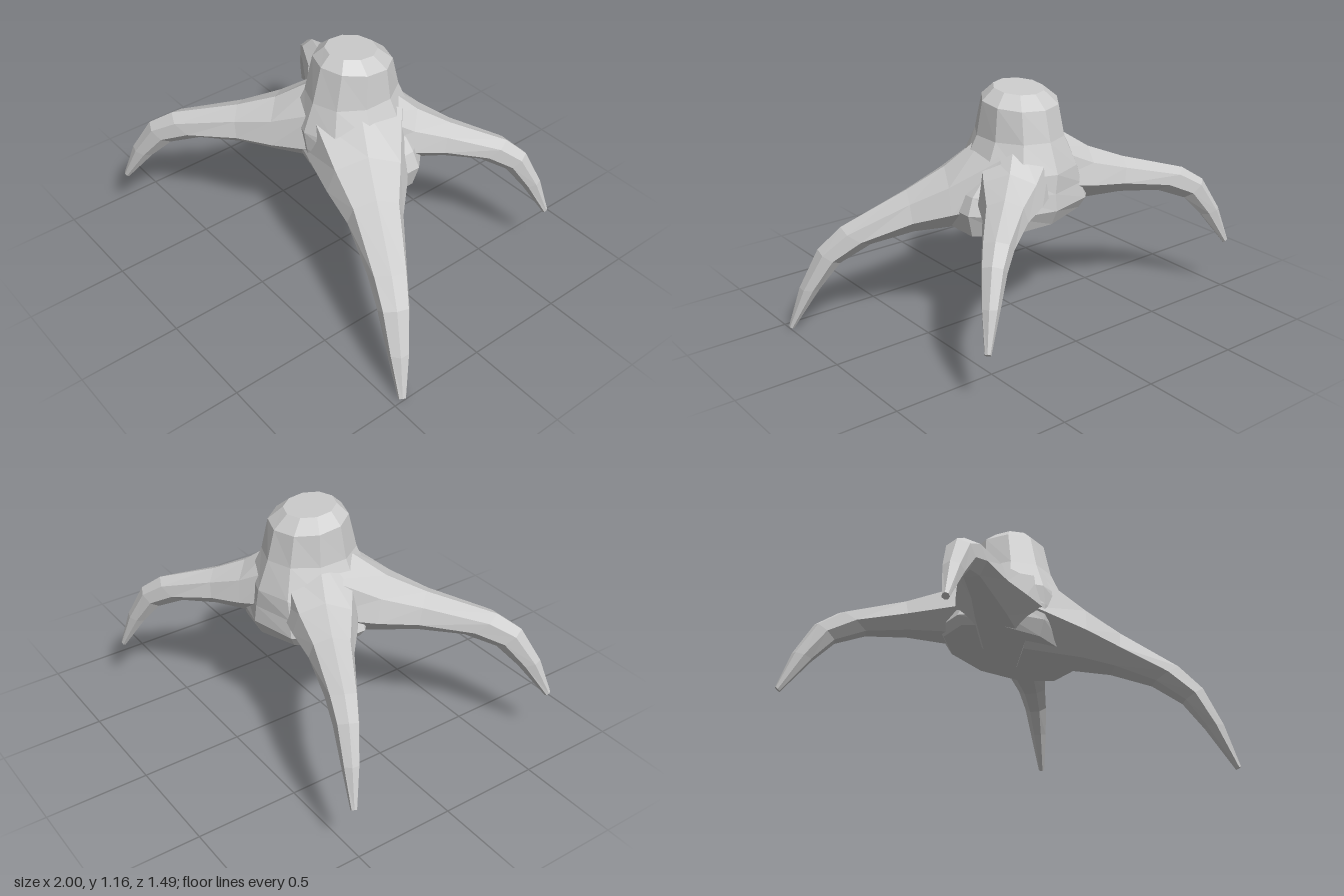
import * as THREE from 'three';

const material = new THREE.MeshStandardMaterial({ color: 0xcccccc, flatShading: true });
const { lerp } = THREE.MathUtils;

// Builds one ring from a rule that places a point for each angle.
const ring = (sides, place) => Array.from({ length: sides },
  (_, i) => place(((i + 0.5) / sides) * Math.PI * 2));

// Skins a list of equal-sized rings; both ends are closed with a fan.
function loft(rings, name) {
  const n = rings[0].length;
  const points = rings.flat();
  const index = [];
  for (let r = 0; r < rings.length - 1; r++) {
    for (let i = 0; i < n; i++) {
      const a = r * n + i, b = r * n + (i + 1) % n;
      index.push(a, b, a + n, b, b + n, a + n);
    }
  }
  for (const r of [0, rings.length - 1]) {
    const centre = new THREE.Vector3();
    rings[r].forEach((p) => centre.addScaledVector(p, 1 / n));
    points.push(centre);
    for (let i = 0; i < n; i++) {
      const a = r * n + i, b = r * n + (i + 1) % n;
      index.push(points.length - 1, r ? a : b, r ? b : a);
    }
  }
  const indexed = new THREE.BufferGeometry().setFromPoints(points);
  indexed.setIndex(index);
  const geometry = indexed.toNonIndexed();
  geometry.computeVertexNormals();
  const mesh = new THREE.Mesh(geometry, material);
  mesh.name = name;
  return mesh;
}

// Trunk: height, half width, half depth, centre z; the top leans back, the base dips left
function makeTrunk() {
  const profile = [
    [1.145, 0.12, 0.125, -0.06],
    [1.09, 0.185, 0.187, -0.07],
    [0.93, 0.205, 0.23, -0.065],
    [0.79, 0.275, 0.285, -0.065],
    [0.7, 0.345, 0.285, -0.07],
    [0.62, 0.38, 0.285, -0.08],
    [0.545, 0.35, 0.25, -0.08],
  ];
  return loft(profile.map(([y, rx, rz, cz]) => ring(10, (a) => {
    const x = rx * Math.cos(a), z = rz * Math.sin(a);
    const tilt = y > 1 ? 0.09 * z : y < 0.6 ? -0.1 * x : 0;
    const shift = y < 0.75 ? 0.015 : 0;
    return new THREE.Vector3(x + shift, y + tilt, cz + z);
  })), 'trunk');
}

// Root stations: distance and height of the ridge, distance and height of the belly, half width
const stations = [
  [0.13, 0.96, 0.05, 0.55, 0.24],
  [0.32, 0.825, 0.31, 0.57, 0.175],
  [0.48, 0.76, 0.46, 0.58, 0.12],
  [0.76, 0.68, 0.64, 0.57, 0.083],
  [0.86, 0.61, 0.77, 0.52, 0.066],
  [0.945, 0.45, 0.86, 0.42, 0.047],
  [1, 0.275, 0.98, 0.255, 0.017],
];

// A tapering root from the trunk axis to its tip; drop sinks it towards the tip
function makeRoot(name, startZ, tipX, tipZ, drop, thickness) {
  const dx = tipX, dz = tipZ - startZ;
  const length = Math.hypot(dx, dz);
  const rings = stations.map(([tTop, yTop, tLow, yLow, w]) => ring(7, (a) => {
    // Seven sides give a ridge on top and a flat belly
    const turn = a + Math.PI / 2 - Math.PI / 7;
    const side = Math.cos(turn) * w * thickness;
    const rise = (Math.sin(turn) + 0.9) / 1.9;
    const t = lerp(tLow, tTop, rise);
    const belly = yLow - 0.25 * (thickness - 1) * (1 - tLow);
    return new THREE.Vector3(
      dx * t + (dz / length) * side,
      lerp(belly, yTop, rise) - drop * t ** 1.5,
      startZ + dz * t - (dx / length) * side);
  }));
  return loft(rings, name);
}

export function createModel() {
  const model = new THREE.Group();
  model.name = 'stump';
  model.add(
    makeTrunk(),
    makeRoot('frontLeftRoot', -0.07, 1, 0.455, 0.263, 1.12),
    makeRoot('frontRightRoot', -0.08, -0.865, 0.735, 0, 1),
    makeRoot('backRightRoot', -0.04, -0.995, -0.525, 0, 0.88),
    makeRoot('backLeftRoot', -0.065, 0.705, -0.745, 0, 0.88),
  );
  return model;
}
